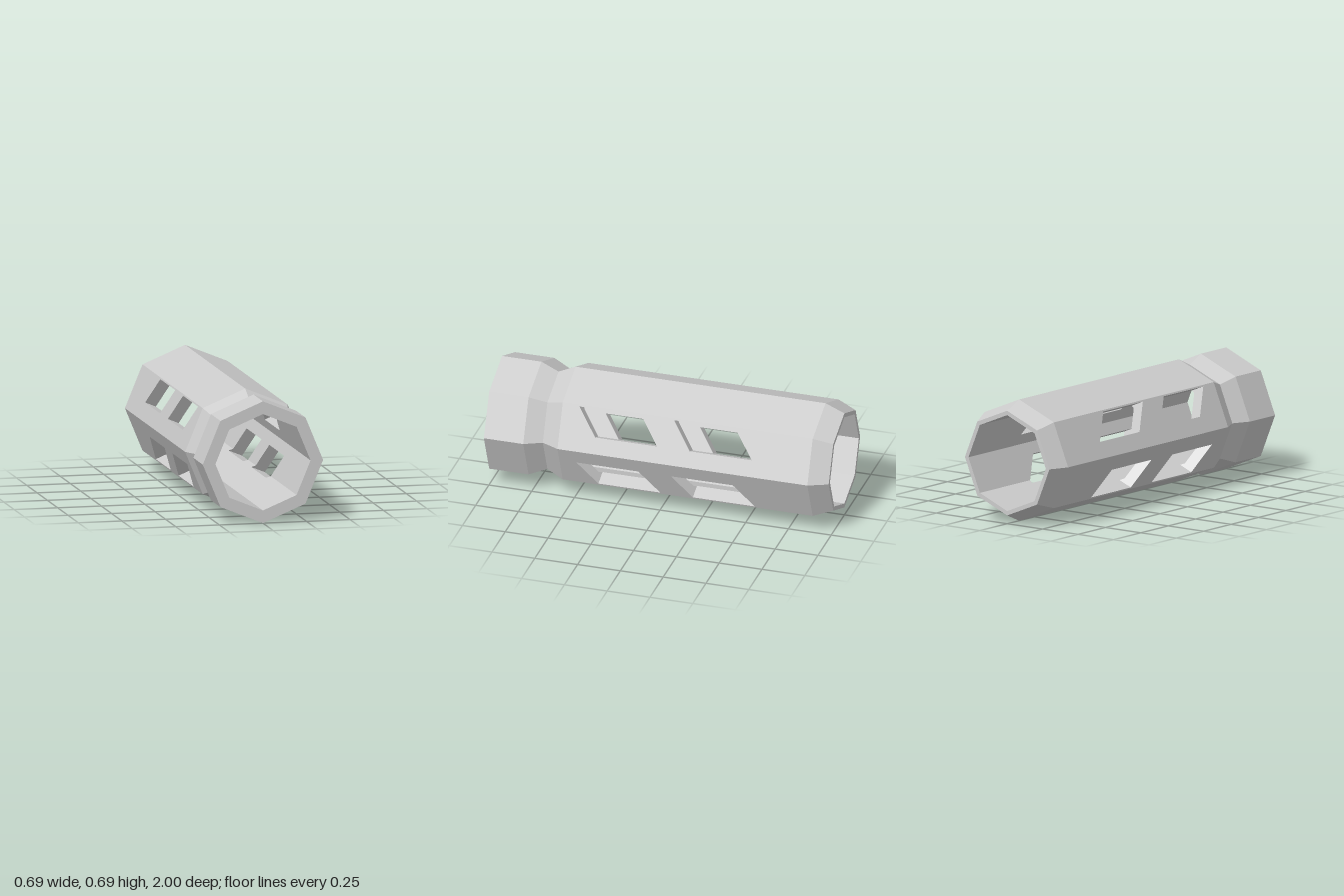
import * as THREE from 'three';
import { mergeGeometries } from 'three/addons/utils/BufferGeometryUtils.js';

const R = 0.345, RIN = 0.273, RNECK = 0.298;      // corner radii of the octagon
const BACK = -0.89, FRONT = 0.57;                 // ends of the straight body
const C = Math.cos(Math.PI / 8), S = Math.sin(Math.PI / 8);
const A = R * C, H = R * S;                       // outer face: distance, half width
const a = RIN * C, h = RIN * S;                   // inner face: distance, half width
const S0 = -0.037, S1 = 0.123;                    // window span across its face
const SLANT = 0.6875, HALF = 0.181;               // window slant and half length
const CENTRES = [-0.317, 0.235];                  // window centres along z

const v = (x, y, z) => new THREE.Vector3(x, y, z);
const shape = pts => new THREE.Shape(pts.map(p => new THREE.Vector2(...p)));
const Z = v(0, 0, 1);

// Places a flat shape on axes X and Y at an origin, mirrored into a quarter
function piece(shp, X, Y, origin, [sx, sy], flip) {
  const m = new THREE.Matrix4().makeBasis(X, Y, v(0, 0, 0)).setPosition(origin);
  m.premultiply(new THREE.Matrix4().makeScale(sx, sy, 1));
  const g = new THREE.ShapeGeometry(shp);
  g.deleteAttribute('normal');
  g.deleteAttribute('uv');
  g.applyMatrix4(m);
  if (flip !== (sx * sy < 0)) g.setIndex([...g.index.array].reverse());
  const flat = g.toNonIndexed();
  flat.computeVertexNormals();
  return flat;
}

// One quarter of the tube: a windowed face and the plain face next to it
function addQuarter(q, parts) {
  const axes = ang => ({
    n: v(Math.cos(ang), Math.sin(ang), 0),
    t: v(-Math.sin(ang), Math.cos(ang), 0),
  });
  const w = axes(Math.PI / 8), p = axes(3 * Math.PI / 8);
  const k = SLANT * q[1];
  const mid = (c, s) => c + k * (s - (S0 + S1) / 2);
  const front = (c, s) => mid(c, s) + HALF;
  const back = (c, s) => mid(c, s) - HALF;
  const at = (f, d) => f.n.clone().multiplyScalar(d);

  // outer faces
  const rect = [[-H, BACK], [H, BACK], [H, FRONT], [-H, FRONT]];
  const windowed = shape(rect);
  for (const c of CENTRES) {
    windowed.holes.push(shape([
      [S0, back(c, S0)], [S0, front(c, S0)], [S1, front(c, S1)], [S1, back(c, S1)],
    ]));
  }
  parts.outer.push(piece(windowed, w.t, Z, at(w, A), q, false));
  parts.outer.push(piece(shape(rect), p.t, Z, at(p, A), q, false));

  // inner faces: the windows reach past the inner corner and notch both
  const notch = -h + (S1 - h) * Math.SQRT2;
  const innerW = [[-h, -1], [h, -1]], innerP = [[-h, -1]];
  for (const c of CENTRES) {
    innerW.push([h, back(c, h)], [S0, back(c, S0)], [S0, front(c, S0)], [h, front(c, h)]);
    innerP.push([-h, back(c, h)], [notch, back(c, S1)], [notch, front(c, S1)], [-h, front(c, h)]);
  }
  innerW.push([h, 1], [-h, 1]);
  innerP.push([-h, 1], [h, 1], [h, -1]);
  parts.inner.push(piece(shape(innerW), w.t, Z, at(w, a), q, true));
  parts.inner.push(piece(shape(innerP), p.t, Z, at(p, a), q, true));

  // walls through the thickness around each window
  const depth = a - (S1 - h);
  const side = shape([[S0, a], [h, a], [S1, depth], [S1, A], [S0, A]]);
  const sheared = w.t.clone().addScaledVector(Z, k);
  const wall = (s, n0, c) => {
    const strip = shape([[n0, -HALF], [A, -HALF], [A, HALF], [n0, HALF]]);
    const origin = w.t.clone().multiplyScalar(s).setZ(mid(c, s));
    return piece(strip, w.n, Z, origin, q, s === S0);
  };
  for (const c of CENTRES) {
    parts.frames.push(
      piece(side, sheared, w.n, v(0, 0, front(c, 0)), q, false),
      piece(side, sheared, w.n, v(0, 0, back(c, 0)), q, true),
      wall(S0, a, c),
      wall(S1, depth, c),
    );
  }
}

export function createModel() {
  const model = new THREE.Group();
  model.name = 'ventedOctagonalTube';
  const material = new THREE.MeshStandardMaterial({ color: 0xcccccc, flatShading: true });
  const add = (name, geometry) => {
    const mesh = new THREE.Mesh(geometry, material);
    mesh.name = name;
    mesh.position.y = R;
    model.add(mesh);
  };

  // straight body with four pairs of slanted windows
  const parts = { outer: [], inner: [], frames: [] };
  for (const sx of [1, -1]) for (const sy of [1, -1]) addQuarter([sx, sy], parts);
  add('outerBody', mergeGeometries(parts.outer));
  add('innerBore', mergeGeometries(parts.inner));
  add('windowFrames', mergeGeometries(parts.frames));

  // grooved front collar and tapered rear rim
  const ring = pts => {
    const profile = pts.map(p => new THREE.Vector2(...p));
    const g = new THREE.LatheGeometry(profile, 8).rotateX(Math.PI / 2).toNonIndexed();
    g.computeVertexNormals();
    return g;
  };
  add('frontCollar', ring([[R, FRONT], [RNECK, 0.67], [R, 0.77], [R, 1], [RIN, 1]]));
  add('rearRim', ring([[RIN, -1], [RNECK, -1], [R, BACK]]));
  return model;
}
